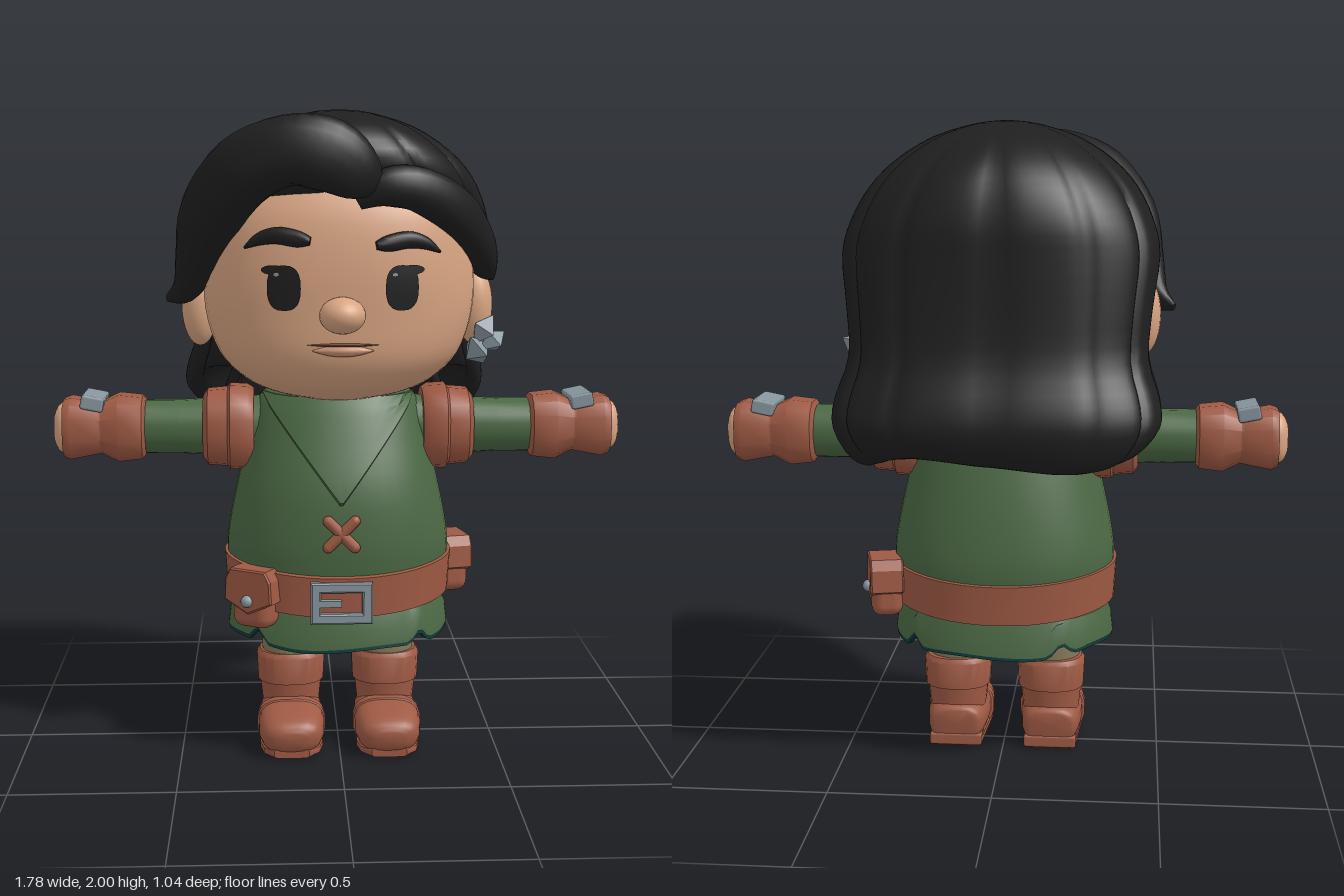
import * as THREE from 'three';
import { toCreasedNormals } from 'three/addons/utils/BufferGeometryUtils.js';
import { RoundedBoxGeometry } from 'three/addons/geometries/RoundedBoxGeometry.js';

const V = (x, y, z) => new THREE.Vector3(x, y, z);
const material = (name, color) => {
  const m = new THREE.MeshStandardMaterial({ color, side: THREE.DoubleSide });
  m.name = name;
  return m;
};
const sgnPow = (v, p) => Math.sign(v) * Math.abs(v) ** p;

// Catmull-Rom subdivision of table rows
function smooth(rows, n) {
  const out = [], last = rows.length - 1;
  for (let i = 0; i < last; i++) {
    const p = [rows[Math.max(i - 1, 0)], rows[i], rows[i + 1], rows[Math.min(i + 2, last)]];
    for (let k = 0; k < n; k++) {
      const t = k / n;
      out.push(rows[i].map((_, c) => {
        const [a, b, d, e] = p.map(r => r[c]);
        return b + 0.5 * t * (d - a + t * (2 * a - 5 * b + 4 * d - e + t * (3 * (b - d) + e - a)));
      }));
    }
  }
  out.push(rows[last]);
  return out;
}

// Skin a list of rings, closing both ends if asked
function loft(rings, caps = true) {
  const n = rings[0].length, pos = [], idx = [];
  rings.forEach(r => r.forEach(p => pos.push(p.x, p.y, p.z)));
  for (let i = 0; i < rings.length - 1; i++) for (let j = 0; j < n; j++) {
    const a = i * n + j, b = i * n + (j + 1) % n;
    idx.push(a, b, b + n, a, b + n, a + n);
  }
  if (caps) [0, rings.length - 1].forEach(i => {
    const c = rings[i].reduce((s, p) => s.add(p), V(0, 0, 0)).divideScalar(n);
    const ci = pos.length / 3;
    pos.push(c.x, c.y, c.z);
    for (let j = 0; j < n; j++) {
      const a = i * n + j, b = i * n + (j + 1) % n;
      if (i) idx.push(ci, a, b); else idx.push(ci, b, a);
    }
  });
  const g = new THREE.BufferGeometry();
  g.setAttribute('position', new THREE.Float32BufferAttribute(pos, 3));
  g.setIndex(idx);
  return toCreasedNormals(g, 0.7);
}

// Horizontal rounded rings; row = [y, halfWidth, frontZ, backZ, squareness]
function stack(rows, seg, caps, shape) {
  return loft(rows.map(([y, w, zf, zb, e]) => Array.from({ length: seg }, (_, j) => {
    const a = j / seg * Math.PI * 2;
    const p = V(w * sgnPow(Math.sin(a), 2 / e), y, (zf + zb) / 2 + (zf - zb) / 2 * sgnPow(Math.cos(a), 2 / e));
    if (shape) shape(p, a, (zf + zb) / 2);
    return p;
  })), caps);
}

// Sections along a path; row = [x, y, z, thickness, width], thickness along the direction up(p)
function sweep(rows, up, seg = 16, e = 2) {
  const pts = rows.map(r => V(r[0], r[1], r[2])), last = pts.length - 1;
  return loft(rows.map((r, i) => {
    const t = pts[Math.min(i + 1, last)].clone().sub(pts[Math.max(i - 1, 0)]).normalize();
    const n = up(pts[i]).clone();
    n.addScaledVector(t, -n.dot(t)).normalize();
    const b = t.clone().cross(n);
    return Array.from({ length: seg }, (_, j) => {
      const a = (j + 0.5) / seg * Math.PI * 2;
      return pts[i].clone().addScaledVector(n, r[3] * sgnPow(Math.cos(a), 2 / e))
        .addScaledVector(b, r[4] * sgnPow(Math.sin(a), 2 / e));
    });
  }));
}

// Front z of a stacked form at x, y
function frontZ(rows, x, y) {
  let i = 0;
  while (i < rows.length - 2 && rows[i + 1][0] < y) i++;
  const t = THREE.MathUtils.clamp((y - rows[i][0]) / (rows[i + 1][0] - rows[i][0]), 0, 1);
  const [, w, zf, zb, e] = rows[i].map((v, c) => v + t * (rows[i + 1][c] - v));
  return (zf + zb) / 2 + (zf - zb) / 2 * Math.max(0, 1 - (Math.abs(x) / w) ** e) ** (1 / e);
}

export function createModel() {
  const model = new THREE.Group();
  const skin = material('skin', 0xd9a582), hair = material('black hair', 0x1f1f1f);
  const green = material('tunic green', 0x4b6844), brown = material('leather brown', 0x9f5a44);
  const metal = material('grey metal', 0x87959e), khaki = material('khaki cloth', 0x857a57);
  const teal = material('dark teal hem', 0x0c3a3a), lip = material('lip', 0xc98f70), line = material('mouth line', 0x7a4a38);
  const add = (name, geo, mat, pos, parent = model) => {
    const m = new THREE.Mesh(geo, mat);
    m.name = name;
    if (pos) m.position.set(...pos);
    parent.add(m);
    return m;
  };
  const upY = () => V(0, 1, 0), upZ = () => V(0, 0, 1);

  // Head
  const head = smooth([[1.13, .13, .22, -.1, 2.1], [1.15, .22, .28, -.16, 2.1], [1.19, .295, .345, -.21, 2.2],
    [1.27, .37, .392, -.24, 2.3], [1.4, .412, .405, -.25, 2.3], [1.55, .412, .41, -.25, 2.3],
    [1.7, .38, .39, -.2, 2.3], [1.82, .3, .33, -.15, 2.2]], 4);
  add('head', stack(head, 48, true), skin);
  add('neck', new THREE.CylinderGeometry(.16, .17, .14, 24), skin, [0, 1.13, 0]);
  add('nose', new THREE.SphereGeometry(1, 24, 16), skin, [-.003, 1.405, .42]).scale.set(.068, .054, .07);

  // Thin oval lying on the face
  const oval = (name, mat, cx, cy, hw, hh, off, e = 2.6) => {
    const rings = [.05, .35, .7, 1].map(r => Array.from({ length: 24 }, (_, j) => {
      const a = j / 24 * Math.PI * 2;
      const x = cx + r * hw * sgnPow(Math.sin(a), 2 / e), y = cy + r * hh * sgnPow(Math.cos(a), 2 / e);
      return V(x, y, frontZ(head, x, y) + off);
    })).reverse();
    add(name, loft(rings), mat);
  };
  for (const s of [-1, 1]) {
    oval('eye', hair, s * .172, 1.483, .049, .066, .008);
    oval('eyeLash', hair, s * .202, 1.535, .036, .014, .009, 2);
    oval('eyeGlint', metal, s * .172 - .022, 1.522, .009, .006, .013, 2);
    const brow = [[.095, 1.605, .012], [.13, 1.611, .024], [.19, 1.621, .025], [.24, 1.611, .019], [.28, 1.588, .006]]
      .map(([x, y, w]) => [s * x, y + (s < 0 ? .013 : 0), frontZ(head, x, y) + .005, .02, w]);
    add('eyebrow', sweep(smooth(brow, 4), upZ), hair);
    add('ear', new THREE.SphereGeometry(1, 20, 16), skin, [s * .432, 1.4, 0]).scale.set(.058, .125, .062);
  }
  const lipRows = (w, y, t, h) => smooth([-1, -.5, 0, .5, 1].map(k =>
    [k * w, y, frontZ(head, k * w, y), t * (1.1 - k * k), h * (1.1 - k * k)]), 3);
  add('mouthLine', sweep(lipRows(.105, 1.317, .012, .005), upZ), line);
  add('lips', sweep(lipRows(.09, 1.3, .018, .016), upZ), lip);

  // Earring crystals on the left ear
  [[.458, 1.325, .045, .056, -.7], [.438, 1.26, .045, .058, .5], [.485, 1.29, .045, .052, -1.1]].forEach(([x, y, z, r, turn]) => {
    const c = add('earring', new THREE.OctahedronGeometry(r), metal, [x, y, z]);
    c.scale.set(.8, 1, .95);
    c.rotation.set(.3, .5, turn);
  });

  // Main hair with combed strands, hollow below and open towards the nape
  const cap = smooth([[1.17, .34, -.1, -.4, 2.6], [1.07, .37, -.15, -.43, 2.6], [1.005, .36, -.23, -.455, 2.6],
    [1.02, .425, -.2, -.495, 2.6], [1.1, .485, -.1, -.525, 2.6],
    [1.18, .485, -.02, -.51, 2.7], [1.3, .45, .05, -.46, 2.8], [1.45, .46, .09, -.44, 2.7],
    [1.6, .48, .2, -.43, 2.5], [1.7, .46, .31, -.422, 2.5], [1.8, .41, .395, -.39, 2.4],
    [1.88, .335, .41, -.33, 2.3], [1.95, .225, .35, -.215, 2.2], [1.99, .1, .22, -.05, 2], [2, .02, .11, .06, 2]], 3);
  add('hair', stack(cap, 120, true, (p, a, zc) => {
    const f = 1.01 - .03 * (1 - Math.abs(Math.sin(6 * a))) ** 3;
    p.x *= f;
    p.z = zc + (p.z - zc) * f;
    p.y += .02 * Math.sin(3 * a) * THREE.MathUtils.clamp((1.15 - p.y) / .15, 0, 1);
    if (p.y < 1.2) p.y += (1.2 - p.y) * THREE.MathUtils.smoothstep(Math.cos(a), .35, .75);
  }), hair);
  // Swept front locks
  const outward = p => V(p.x, .3 * (p.y - 1.6), p.z);
  add('quiff', sweep(smooth([[.09, 1.76, .4, .02, .02], [.05, 1.8, .43, .05, .075], [-.04, 1.86, .45, .065, .105],
    [-.16, 1.875, .435, .075, .1], [-.29, 1.815, .38, .085, .105], [-.385, 1.69, .265, .085, .1],
    [-.435, 1.55, .15, .06, .085], [-.475, 1.46, .07, .035, .05], [-.53, 1.425, .02, .008, .012]], 4), outward, 20, 2.3), hair);
  add('sideLock', sweep(smooth([[.04, 1.73, .405, .02, .025], [.12, 1.77, .405, .045, .055], [.22, 1.765, .375, .055, .065],
    [.335, 1.7, .29, .06, .07], [.41, 1.605, .175, .058, .065], [.455, 1.535, .075, .04, .05], [.485, 1.495, .02, .01, .02]], 4),
  outward, 20, 2.3), hair);

  // Tunic
  const body = smooth([[.46, .33, .28, -.27, 2.2], [.6, .352, .295, -.288, 2.2], [.7, .348, .3, -.283, 2.2],
    [.85, .318, .285, -.255, 2.2], [1, .283, .235, -.215, 2.2], [1.08, .262, .205, -.19, 2.2],
    [1.13, .235, .185, -.17, 2.2], [1.15, .18, .16, -.14, 2.2]], 3);
  add('tunic', stack(body, 48, true), green);
  const ragged = (p, a) => {
    if (p.y > .44) return;
    for (const a0 of [.75, 2.3, 3.7, 5.5]) p.y += .04 * Math.max(0, 1 - Math.abs(a - a0) / .13);
    p.y += .006 * Math.sin(5 * a) + .02 * (p.x / .35) ** 2;
  };
  add('skirt', stack([[.366, .352, .302, -.29, 2.2], [.42, .346, .296, -.284, 2.2], [.49, .325, .275, -.265, 2.2]], 96, false, ragged), green);
  add('hem', stack([[.43, .325, .275, -.262, 2.2], [.358, .333, .283, -.27, 2.2], [.355, .35, .3, -.288, 2.2],
    [.43, .34, .29, -.28, 2.2]], 96, false, ragged), teal);
  add('hips', stack([[.395, .315, .265, -.255, 2.2], [.5, .31, .26, -.25, 2.2]], 32, true), khaki);

  // Raised V collar following the chest
  const collar = [];
  for (let i = 0; i <= 10; i++) {
    const y = 1.135 - i * .0305, w = .24 * (1 - i / 10.2), ring = [];
    for (let j = 0; j <= 12; j++) {
      const x = w * (j / 6 - 1);
      ring.push(V(x, y, frontZ(body, x, y) + .022 + .0015 * i));
    }
    for (let j = 12; j >= 0; j--) ring.push(V(ring[j].x, y - .025, ring[j].z - .06));
    collar.unshift(ring);
  }
  add('collar', loft(collar), green);
  // Cross stitch
  for (const s of [-1, 1])
    add('stitch', new THREE.CapsuleGeometry(.017, .115, 4, 10), brown, [0, .73, .305]).rotation.z = s * .78;

  // Belt, buckle and pouches
  add('belt', stack([[.465, .34, .29, -.28, 2.2], [.468, .354, .303, -.29, 2.2], [.592, .362, .31, -.298, 2.2],
    [.597, .34, .29, -.28, 2.2]], 48, false, p => { p.y += .03 * (p.x / .36) ** 2; }), brown);
  const shape = pts => new THREE.Shape(pts.map(p => new THREE.Vector2(...p)));
  const rect = (w, h) => [[-w, -h], [w, -h], [w, h], [-w, h]];
  const frame = shape(rect(.09, .06));
  frame.holes.push(shape(rect(.068, .038)));
  const bevel = depth => ({ depth, bevelSize: .005, bevelThickness: .005, bevelSegments: 1 });
  add('buckle', new THREE.ExtrudeGeometry(frame, bevel(.018)), metal, [0, .517, .3]);
  add('bucklePin', new THREE.BoxGeometry(.07, .02, .02), metal, [-.035, .517, .315]);
  for (const [x, y, z, turn] of [[-.26, .52, .225, -.55], [.372, .545, -.11, 1.8]]) {
    const pouch = new THREE.Group();
    pouch.name = 'pouch';
    pouch.position.set(x, y, z);
    pouch.rotation.y = turn;
    add('pouchBag', new RoundedBoxGeometry(.135, .17, .1, 3, .035), brown, [0, -.01, 0], pouch);
    const flap = shape([[-.06, .088], [-.076, .06], [-.08, -.005], [0, -.042], [.08, -.005], [.076, .06], [.06, .088]]);
    add('pouchFlap', new THREE.ExtrudeGeometry(flap, bevel(.095)), brown, [0, 0, -.045], pouch);
    add('pouchStud', new THREE.SphereGeometry(.019, 12, 8), metal, [0, -.005, .057], pouch);
    model.add(pouch);
  }

  for (const s of [-1, 1]) {
    // Arm: row = [x, radius]
    const limb = (name, rows, mat, seg = 16, e = 2.4) =>
      add(name, sweep(rows.map(([x, r]) => [s * x, 1.018, .008, r, r]), upY, seg, e), mat);
    limb('shoulderBand', [[.265, .12], [.285, .133], [.34, .136], [.348, .125], [.41, .12], [.425, .1]], brown, 16, 2.5);
    limb('sleeve', [[.2, .1], [.5, .085], [.62, .085]], green, 20, 2.2);
    limb('cuff', [[.605, .085], [.615, .1], [.69, .108], [.745, .082], [.755, .084], [.84, .1], [.862, .092]], brown, 12, 2.8);
    limb('hand', smooth([[.8, .08], [.855, .082], [.88, .07], [.892, .045]], 3), skin, 20, 2.8);
    add('wristPlate', new RoundedBoxGeometry(.072, .045, .175, 1, .008), metal, [s * .768, 1.103, .008]).rotation.z = s * .2;

    // Leg and boot
    const x = s * .153;
    add('leg', new THREE.CylinderGeometry(.095, .09, .22, 24), khaki, [x, .35, .01]);
    const ring = (y, r) => [x, y, .005, r, r];
    add('bootShaft', sweep([ring(.05, .09), ring(.12, .092), ring(.2, .1)], upZ, 20, 2.2), brown);
    add('bootCuff', sweep([ring(.185, .09), ring(.19, .106), ring(.275, .11), ring(.29, .1)], upZ, 20, 2.3), brown);
    add('bootFoot', sweep(smooth([[-.1, .13, .06], [-.085, .132, .085], [0, .14, .098], [.08, .142, .1], [.16, .134, .105],
      [.22, .118, .095], [.25, .106, .08], [.266, .1, .05]].map(([z, top, w], i) =>
      [x, top / 2 + .006, z, top / 2 * [.75, .95, 1, 1, 1, 1, .9, .6][i], w]), 3), upY, 20, 2.8), brown);
    add('bootSole', sweep([[-.095, .07], [-.08, .085], [0, .09], [.16, .1], [.22, .088], [.255, .055]]
      .map(([z, w]) => [x, .015, z, .015, w]), upY, 16, 6), brown);
    add('bootStrap', sweep([.085, .09, .125, .13].map((z, i) => [x, .072, z, i % 3 ? .077 : .07, i % 3 ? .109 : .1]), upY, 20, 2.8), brown);
    add('bootHeel', new RoundedBoxGeometry(.17, .04, .1, 1, .008), brown, [x, .02, -.05]);
  }
  return model;
}
